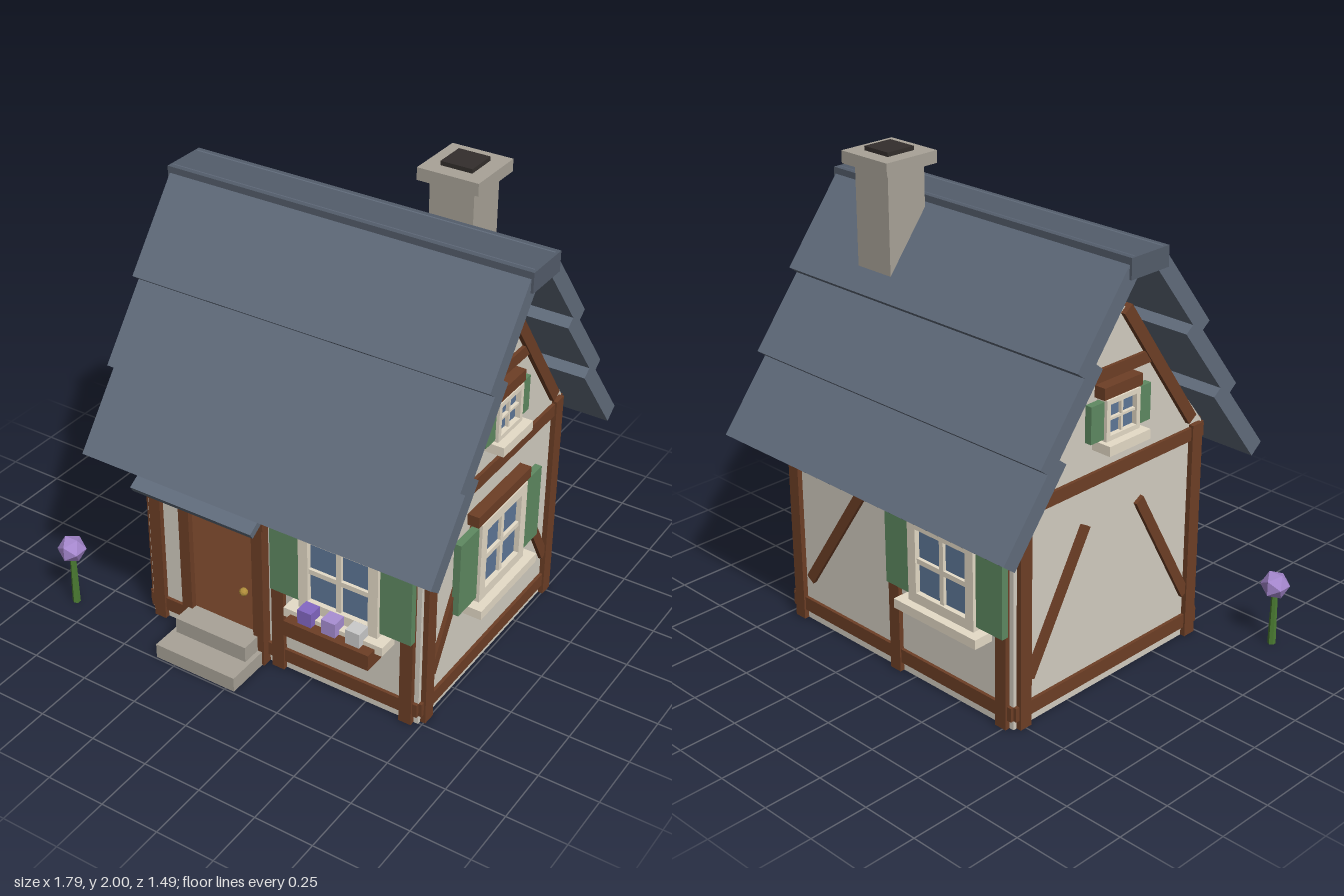
import * as THREE from 'three';

const mat = (color) => new THREE.MeshStandardMaterial({ color, flatShading: true });
const M = {
  wall: mat(0xd4cec2), wood: mat(0x6e3f26), door: mat(0x8a5232), frame: mat(0xe6dcc8),
  glass: mat(0x5f7899), shutter: mat(0x5f8a62), roof: mat(0x616c7c), ridge: mat(0x545d6b),
  stone: mat(0xa9a398), flue: mat(0x332e2c), brass: mat(0xb08d3a), stem: mat(0x4c7d33),
  bloom: mat(0xa688cf),
};
const HX = 0.635, HZ = 0.525, WALL_TOP = 0.945, APEX = 1.61;

function add(parent, name, geometry, material, x = 0, y = 0, z = 0) {
  const mesh = new THREE.Mesh(geometry, material);
  mesh.name = name;
  mesh.position.set(x, y, z);
  parent.add(mesh);
  return mesh;
}
const box = (parent, name, material, w, h, d, x, y, z) =>
  add(parent, name, new THREE.BoxGeometry(w, h, d), material, x, y, z);

// Box given by its edges on a wall face; z runs outward from the wall
const slab = (parent, name, material, x0, x1, y0, y1, z0, z1) =>
  box(parent, name, material, x1 - x0, y1 - y0, z1 - z0, (x0 + x1) / 2, (y0 + y1) / 2, (z0 + z1) / 2);

// Timber laid flat on a wall between two points
function timber(face, name, x0, y0, x1, y1, width = 0.045, depth = 0.016) {
  const m = box(face, name, M.wood, Math.hypot(x1 - x0, y1 - y0), width, depth + 0.01,
    (x0 + x1) / 2, (y0 + y1) / 2, (depth - 0.01) / 2);
  m.rotation.z = Math.atan2(y1 - y0, x1 - x0);
}

// Wall face: x to the viewer's right, z outward
function wallFace(house, name, turn, distance) {
  const g = new THREE.Group();
  g.name = name;
  g.rotation.y = turn;
  g.position.set(Math.sin(turn) * distance, 0, Math.cos(turn) * distance);
  house.add(g);
  return g;
}

// Corner posts and horizontal beams
function frameFace(face, postOut, postIn, half) {
  for (const s of [-1, 1]) {
    const a = s * postIn, b = s * postOut;
    slab(face, 'cornerPost', M.wood, Math.min(a, b), Math.max(a, b), 0, WALL_TOP, -0.01, 0.022);
  }
  slab(face, 'sillBeam', M.wood, -half, half, 0.04, 0.1, -0.01, 0.014);
  slab(face, 'topBeam', M.wood, -half, half, 0.88, 0.935, -0.01, 0.014);
}

function addWindow(face, x, y0, w, h, border, shutterW, overhang) {
  const g = new THREE.Group();
  g.name = 'window';
  g.position.set(x, y0, 0);
  face.add(g);
  const a = w / 2, b = border;
  for (const s of [-1, 1]) {
    slab(g, 'windowJamb', M.frame, s * (a - b / 2) - b / 2, s * (a - b / 2) + b / 2, 0, h, -0.01, 0.052);
    box(g, 'shutter', M.shutter, shutterW, h * 0.91, 0.03, s * (a + shutterW / 2 + 0.002), h / 2 + h * 0.01, 0.025);
  }
  slab(g, 'windowHead', M.frame, b - a, a - b, h - b, h, -0.01, 0.052);
  slab(g, 'windowFoot', M.frame, b - a, a - b, 0, b, -0.01, 0.052);
  slab(g, 'glass', M.glass, b - a, a - b, b, h - b, -0.01, 0.03);
  const bar = b * 0.25;
  slab(g, 'mullion', M.frame, -bar, bar, b, h - b, 0.02, 0.044);
  slab(g, 'transom', M.frame, b - a, a - b, h / 2 - bar, h / 2 + bar, 0.02, 0.044);
  slab(g, 'windowSill', M.frame, -a - overhang, a + overhang, -0.04, 0, -0.01, 0.088);
  slab(g, 'windowLintel', M.wood, -a - overhang * 0.6, a + overhang * 0.6, h + 0.004, h + 0.052, -0.01, 0.05);
}
const mainWindow = (face, x) => addWindow(face, x, 0.38, 0.355, 0.36, 0.043, 0.137, 0.045);

function addDoor(face) {
  const g = new THREE.Group();
  g.name = 'doorway';
  g.position.x = -0.25;
  face.add(g);
  slab(g, 'door', M.door, -0.15, 0.15, 0.13, 0.607, -0.01, 0.02);
  slab(g, 'doorTransom', M.frame, -0.15, 0.15, 0.607, 0.667, -0.01, 0.015);
  for (const s of [-1, 1]) box(g, 'doorPost', M.wood, 0.05, 0.667, 0.055, s * 0.175, 0.3335, 0.0175);
  slab(g, 'doorLintel', M.wood, -0.213, 0.213, 0.667, 0.73, -0.01, 0.055);
  add(g, 'doorKnob', new THREE.IcosahedronGeometry(0.018, 1), M.brass, 0.1, 0.32, 0.033);
  slab(g, 'upperStep', M.stone, -0.17, 0.17, 0.065, 0.135, -0.01, 0.13);
  slab(g, 'lowerStep', M.stone, -0.19, 0.19, 0, 0.065, -0.01, 0.237);
  // Sloping canopy
  const canopy = box(g, 'canopy', M.roof, 0.56, 0.03, 0.25, 0, 0.836, 0.11);
  canopy.rotation.x = 0.55;
}

function addFlowerBox(face) {
  const g = new THREE.Group();
  g.name = 'flowerBox';
  g.position.x = 0.3;
  face.add(g);
  slab(g, 'planter', M.wood, -0.19, 0.19, 0.29, 0.36, 0.03, 0.135);
  [0x8468c4, 0xa98fd4, 0xd6d6da].forEach((c, i) =>
    box(g, 'blossom', mat(c), 0.062, 0.065, 0.062, (i - 1) * 0.108, 0.392, 0.085));
}

// One slope of three overlapping courses, each lower course tucked under the next
function roofSlope(house, turn) {
  const g = new THREE.Group();
  g.name = 'roofSlope';
  g.rotation.y = turn;
  house.add(g);
  const a = THREE.MathUtils.degToRad(52), c = Math.cos(a), s = Math.sin(a), t = 0.07;
  for (let i = 0; i < 3; i++) {
    const len = i ? 0.42 : 0.46;
    const z = 0.36 + i * 0.182, y = 1.445 - i * 0.3075;
    const m = box(g, 'roofCourse', M.roof, 1.565, t, len, 0,
      y + s * len / 2 - c * t / 2, z - c * len / 2 - s * t / 2);
    m.rotation.x = a;
  }
}

export function createModel() {
  const model = new THREE.Group();
  model.name = 'cottage';
  const house = new THREE.Group();
  house.name = 'house';
  house.position.set(0.1, 0, -0.02);
  model.add(house);

  // Walls with gables, extruded along x
  const section = new THREE.Shape([[-HZ, 0], [HZ, 0], [HZ, WALL_TOP], [0, APEX], [-HZ, WALL_TOP]]
    .map(([u, v]) => new THREE.Vector2(u, v)));
  const walls = new THREE.ExtrudeGeometry(section, { depth: 2 * HX, bevelEnabled: false });
  walls.translate(0, 0, -HX).rotateY(Math.PI / 2);
  add(house, 'walls', walls, M.wall);

  // Front
  const front = wallFace(house, 'front', 0, HZ);
  frameFace(front, 0.615, 0.56, HX);
  slab(front, 'middlePost', M.wood, -0.027, 0.029, 0, WALL_TOP, -0.01, 0.02);
  mainWindow(front, 0.3);
  addDoor(front);
  addFlowerBox(front);

  // Back
  const back = wallFace(house, 'back', Math.PI, HZ);
  frameFace(back, 0.615, 0.56, HX);
  slab(back, 'middlePost', M.wood, -0.028, 0.028, 0, WALL_TOP, -0.01, 0.02);
  mainWindow(back, 0.3);
  timber(back, 'brace', -0.52, 0.2, -0.17, 0.73);

  // Gable ends
  for (const s of [1, -1]) {
    const gable = wallFace(house, s > 0 ? 'leftGable' : 'rightGable', s * Math.PI / 2, HX);
    frameFace(gable, 0.508, 0.45, HZ);
    for (const k of [-1, 1]) {
      timber(gable, 'brace', k * 0.45, 0.2, k * 0.15, 0.73);
      timber(gable, 'rafter', k * 0.448, 0.975, k * 0.05, 1.54, 0.05, 0.02);
    }
    timber(gable, 'collarBeam', -0.2, 1.315, 0.2, 1.315, 0.05, 0.014);
    addWindow(gable, 0, 1.065, 0.185, 0.165, 0.02, 0.07, 0.02);
    if (s > 0) mainWindow(gable, 0);
  }

  // Roof
  roofSlope(house, 0);
  roofSlope(house, Math.PI);
  box(house, 'ridgeCap', M.ridge, 1.585, 0.082, 0.2, 0, 1.764, 0);

  // Chimney
  const chimney = new THREE.Group();
  chimney.name = 'chimney';
  chimney.position.set(0.4375, 0, -0.225);
  model.add(chimney);
  box(chimney, 'chimneyStack', M.stone, 0.185, 0.75, 0.185, 0, 1.565, 0);
  box(chimney, 'chimneyCap', M.stone, 0.255, 0.05, 0.255, 0, 1.96, 0);
  box(chimney, 'chimneyFlue', M.flue, 0.132, 0.04, 0.132, 0, 1.982, 0);

  // Garden flower
  const flower = new THREE.Group();
  flower.name = 'gardenFlower';
  flower.position.set(-0.842, 0, 0.64);
  model.add(flower);
  add(flower, 'stem', new THREE.CylinderGeometry(0.013, 0.017, 0.24, 6), M.stem, 0, 0.12, 0);
  add(flower, 'flowerHead', new THREE.IcosahedronGeometry(0.06, 0), M.bloom, 0, 0.27, 0);

  return model;
}
